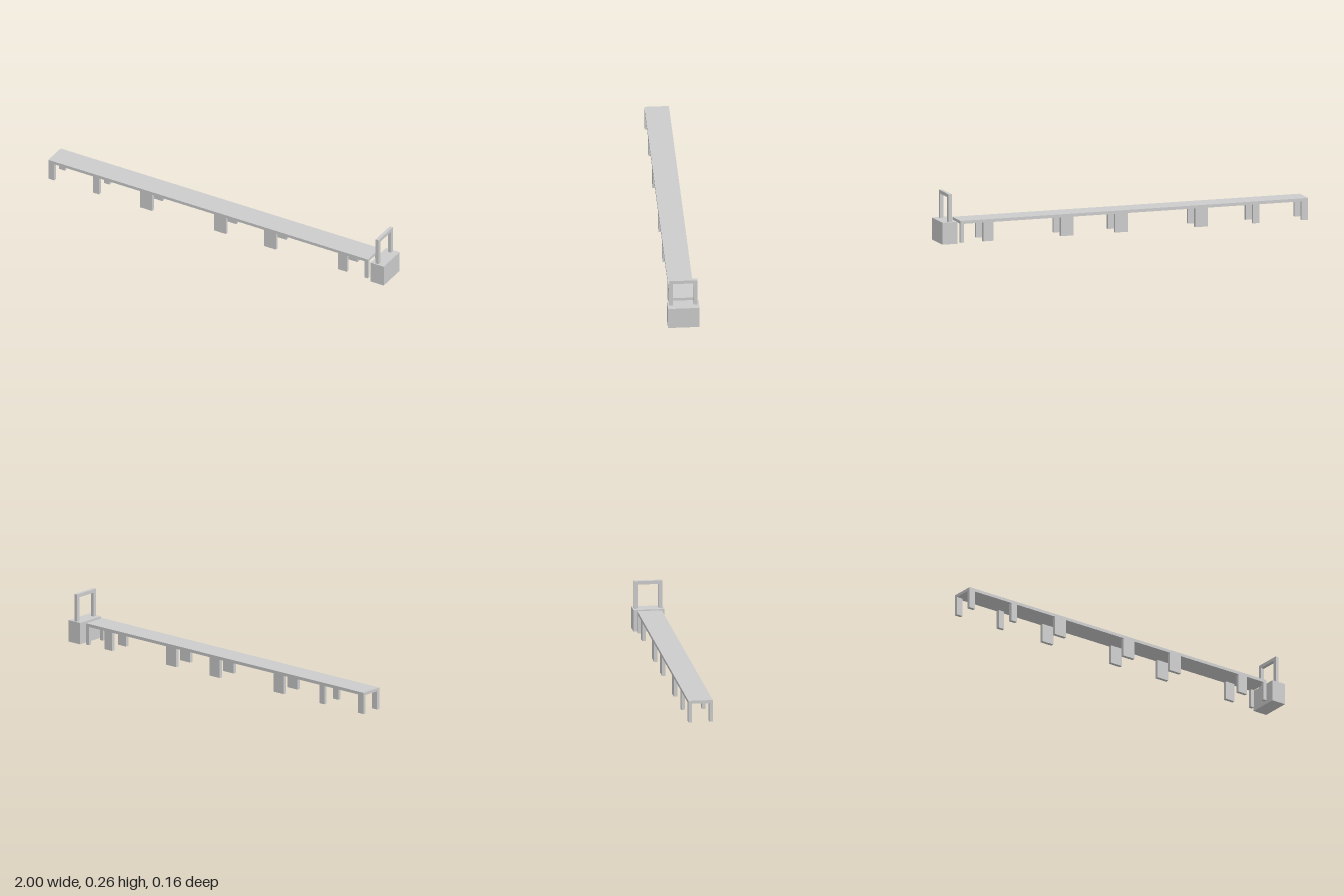
import * as THREE from 'three';

const material = new THREE.MeshStandardMaterial({ color: 0xcccccc, flatShading: true });

// Box given by its min and max on each axis
function box(name, x0, x1, y0, y1, z0, z1) {
  const mesh = new THREE.Mesh(new THREE.BoxGeometry(x1 - x0, y1 - y0, z1 - z0), material);
  mesh.position.set((x0 + x1) / 2, (y0 + y1) / 2, (z0 + z1) / 2);
  mesh.name = name;
  return mesh;
}

export function createModel() {
  const model = new THREE.Group();
  model.name = 'benchRow';

  const top = 0.114, slab = 0.016, half = 0.063, legDepth = 0.018;

  // Table sections: start, end, leg width, optional middle leg start
  const sections = [
    { x0: -1, x1: -0.42, leg: 0.035, middle: -0.734 },
    { x0: -0.42, x1: 0.018, leg: 0.035 },
    { x0: 0.018, x1: 0.314, leg: 0.035 },
    { x0: 0.314, x1: 0.752, leg: 0.035 },
    { x0: 0.752, x1: 0.895, leg: 0.019 },
  ];
  for (const { x0, x1, leg, middle } of sections) {
    const section = new THREE.Group();
    section.name = 'tableSection';
    section.add(box('tableTop', x0, x1, top - slab, top, -half, half));
    const starts = [x0, x1 - leg];
    if (middle !== undefined) starts.push(middle);
    for (const x of starts) {
      section.add(box('frontLeg', x, x + leg, 0, top - slab, half - legDepth, half));
      section.add(box('backLeg', x, x + leg, 0, top - slab, -half, -half + legDepth));
    }
    model.add(section);
  }

  // Seat block with an upright frame as backrest
  const chair = new THREE.Group();
  chair.name = 'chair';
  chair.add(box('seatBlock', 0.92, 1, 0, 0.114, -0.081, 0.081));
  chair.add(box('backrestPost', 0.947, 0.965, 0.114, 0.241, 0.054, 0.073));
  chair.add(box('backrestPost', 0.947, 0.965, 0.114, 0.241, -0.073, -0.054));
  chair.add(box('backrestRail', 0.947, 0.965, 0.241, 0.259, -0.073, 0.073));
  model.add(chair);

  return model;
}
